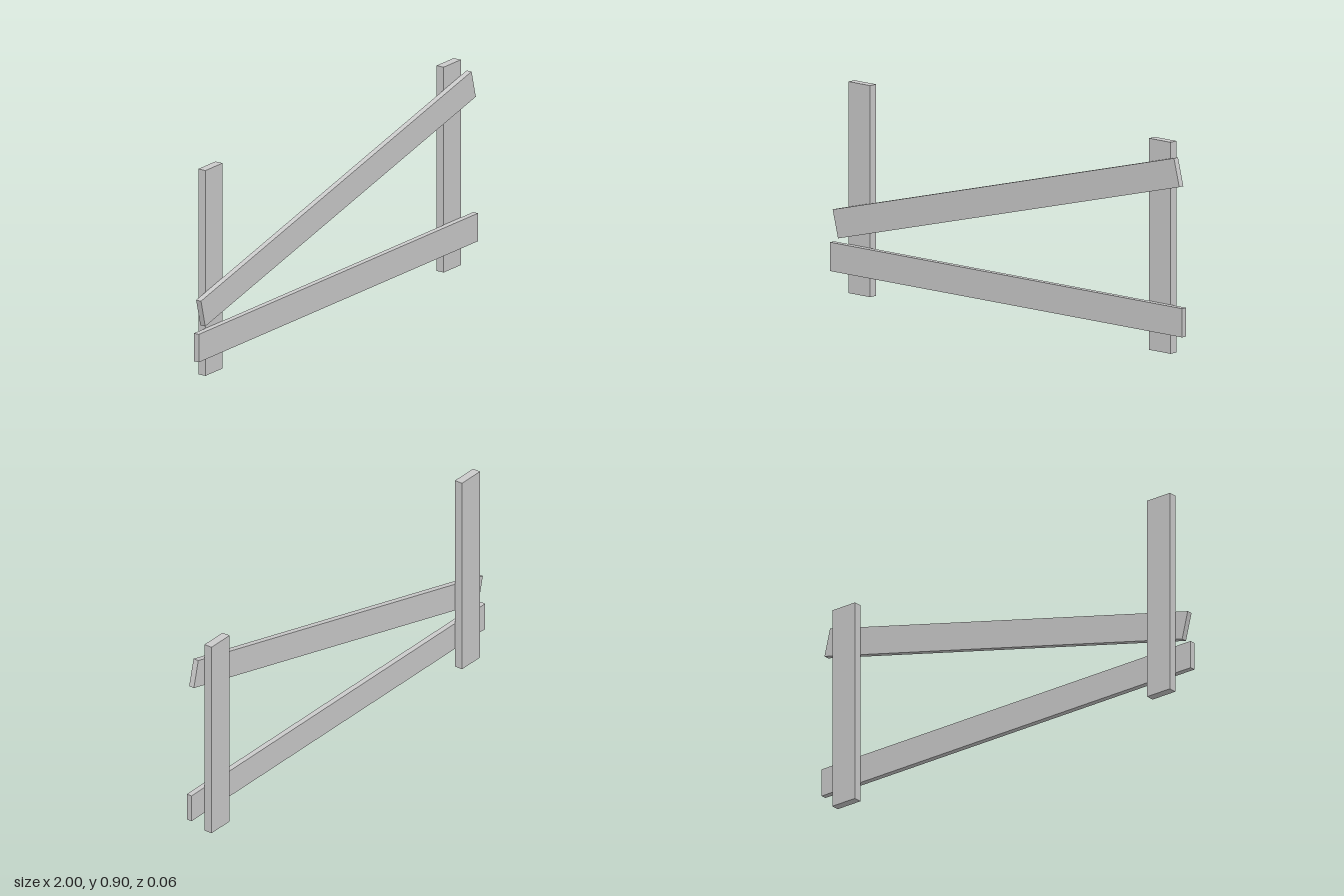
import * as THREE from 'three';

export function createModel() {
  const group = new THREE.Group();
  const material = new THREE.MeshStandardMaterial({ color: 0xcccccc, flatShading: true });
  const width = 0.123; // shared face width of all planks

  function plank(name, size, position, tilt = 0) {
    const mesh = new THREE.Mesh(new THREE.BoxGeometry(...size), material);
    mesh.name = name;
    mesh.position.set(...position);
    mesh.rotation.z = tilt;
    group.add(mesh);
  }

  // Upright posts at the back
  const postHeight = 0.904;
  plank('rightPost', [width, postHeight, 0.037], [-0.856, postHeight / 2, -0.0125]);
  plank('leftPost', [width, postHeight, 0.037], [0.85, postHeight / 2, -0.0125]);

  // Thinner rails fixed to the front: one level, one slipped down at an end
  plank('lowerRail', [2, width, 0.025], [0, 0.148, 0.0185]);
  plank('slantedRail', [2, width, 0.025], [0, 0.539, 0.0185], THREE.MathUtils.degToRad(14.3));

  return group;
}
